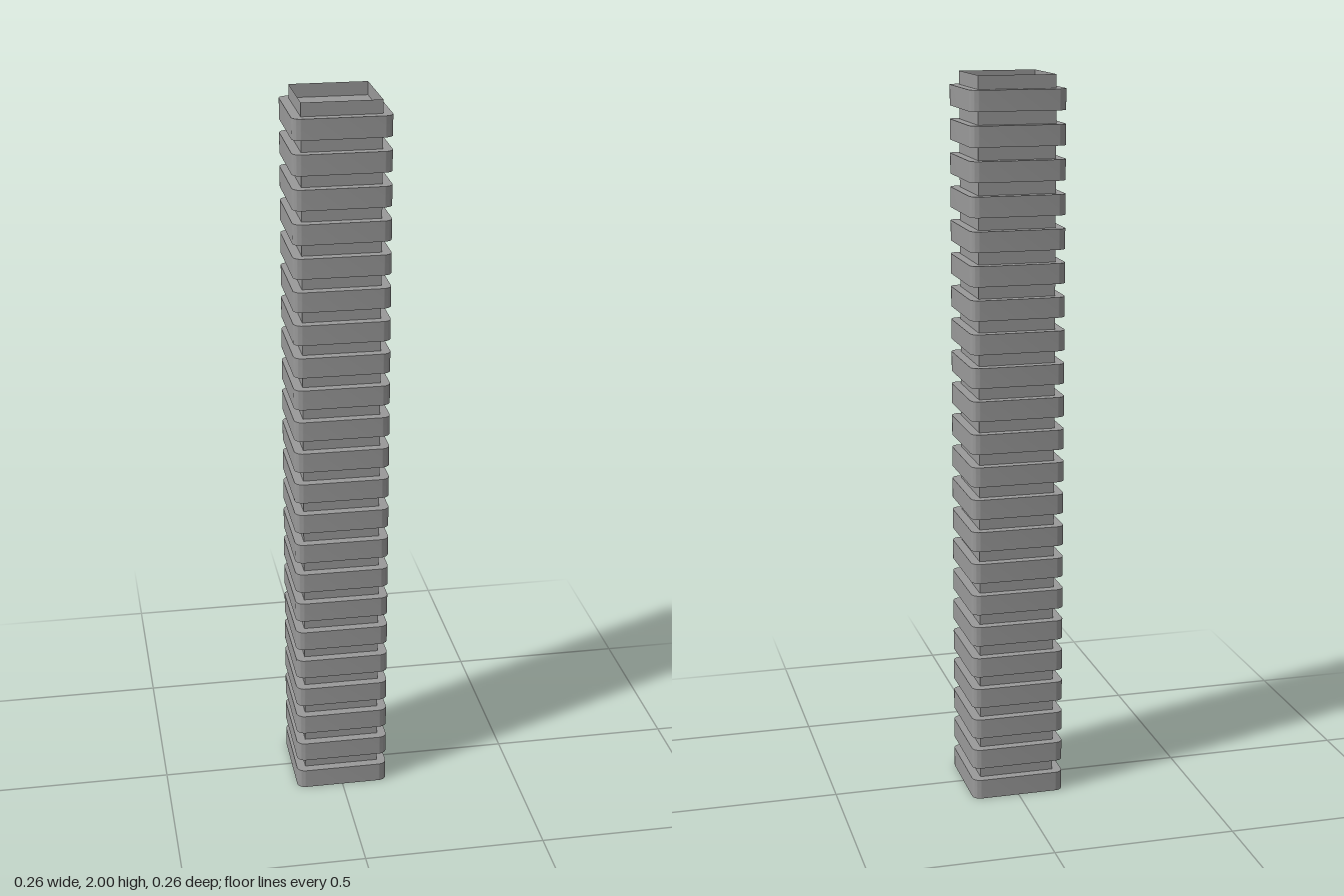
import * as THREE from 'three';
import { toCreasedNormals } from 'three/addons/utils/BufferGeometryUtils.js';

const FLOORS = 22;
const STEP = 2 / FLOORS;
const SLAB_H = 0.055;
const SLAB_HALF = 0.13;
const CORNER = 0.023;
const WALL_HALF = 0.105;
const CONCRETE = 0x9a9a9a;

// Square outline with rounded corners
function roundedSquare(h, r) {
  const s = new THREE.Shape();
  const c = h - r;
  s.absarc(c, c, r, 0, Math.PI / 2);
  s.absarc(-c, c, r, Math.PI / 2, Math.PI);
  s.absarc(-c, -c, r, Math.PI, Math.PI * 1.5);
  s.absarc(c, -c, r, Math.PI * 1.5, Math.PI * 2);
  s.closePath();
  return s;
}

export function createModel() {
  const tower = new THREE.Group();
  tower.name = 'tower';

  const slabMaterial = new THREE.MeshStandardMaterial({ color: CONCRETE });
  const wallMaterial = new THREE.MeshStandardMaterial({
    color: CONCRETE, side: THREE.DoubleSide, flatShading: true,
  });

  // Floor slab, extruded upwards from its underside
  const extruded = new THREE.ExtrudeGeometry(roundedSquare(SLAB_HALF, CORNER), {
    depth: SLAB_H, bevelEnabled: false, curveSegments: 6,
  });
  extruded.rotateX(-Math.PI / 2);
  const slabGeometry = toCreasedNormals(extruded, 0.6);

  // Recessed wall band: an open square tube, so the topmost one is a thin parapet
  const wallH = STEP - SLAB_H;
  const wallGeometry = new THREE.CylinderGeometry(
    WALL_HALF * Math.SQRT2, WALL_HALF * Math.SQRT2, wallH, 4, 1, true);
  wallGeometry.rotateY(Math.PI / 4);
  wallGeometry.translate(0, SLAB_H + wallH / 2, 0);

  for (let i = 0; i < FLOORS; i++) {
    const slab = new THREE.Mesh(slabGeometry, slabMaterial);
    slab.name = `floorSlab${i + 1}`;
    const wall = new THREE.Mesh(wallGeometry, wallMaterial);
    wall.name = i === FLOORS - 1 ? 'roofParapet' : `recessedWall${i + 1}`;
    slab.position.y = wall.position.y = i * STEP;
    tower.add(slab, wall);
  }
  return tower;
}
